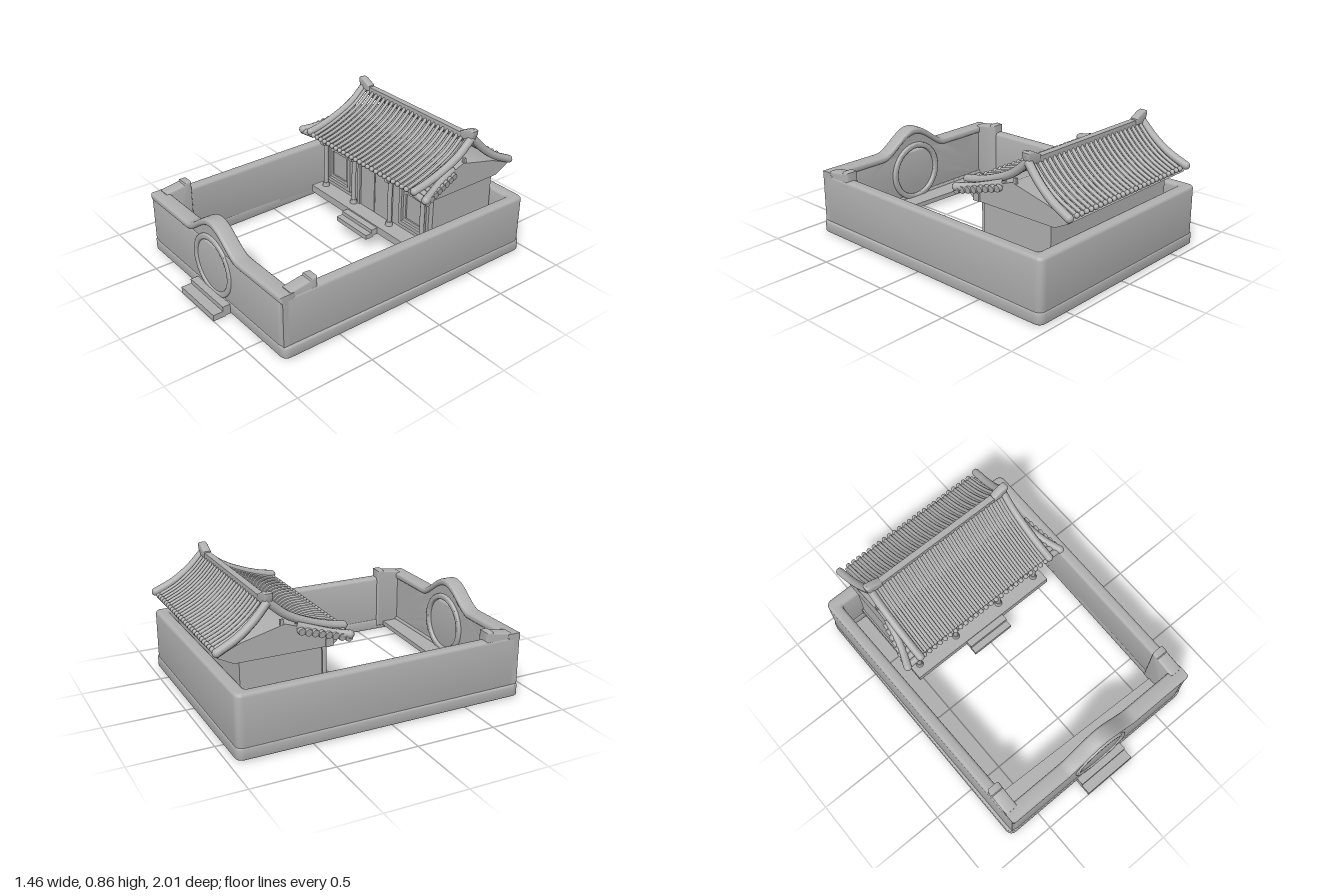
import * as THREE from 'three';
import { toCreasedNormals } from 'three/addons/utils/BufferGeometryUtils.js';

export function createModel() {
  const root = new THREE.Group();
  root.name = 'courtyardHouse';
  const stone = new THREE.MeshStandardMaterial({ color: 0xb0b0b0, side: THREE.DoubleSide });
  stone.name = 'grey';

  const add = (name, geo, parent = root) => {
    const m = new THREE.Mesh(geo, stone);
    m.name = name;
    parent.add(m);
    return m;
  };
  // box given by its limits on each axis
  const box = (name, x0, x1, y0, y1, z0, z1, parent = root) => {
    const m = add(name, new THREE.BoxGeometry(x1 - x0, y1 - y0, z1 - z0), parent);
    m.position.set((x0 + x1) / 2, (y0 + y1) / 2, (z0 + z1) / 2);
    return m;
  };
  const extrude = (shape, depth, bevel = 0) => {
    const g = new THREE.ExtrudeGeometry(shape, {
      depth: depth - 2 * bevel, bevelEnabled: bevel > 0, bevelSize: bevel,
      bevelThickness: bevel, bevelOffset: -bevel, bevelSegments: 3, curveSegments: 32,
    });
    g.translate(0, 0, bevel);
    return toCreasedNormals(g, 0.6);
  };
  const polygon = pts => new THREE.Shape(pts.map(p => new THREE.Vector2(...p)));
  // (z, y) profile extruded along x
  const sideProfile = (name, pts, x0, x1, bevel = 0, parent = root) => {
    const g = extrude(polygon(pts.map(([z, y]) => [-z, y])), x1 - x0, bevel);
    g.rotateY(Math.PI / 2).translate(x0, 0, 0);
    return add(name, g, parent);
  };
  const tube = (pts, r, seg = 14, sides = 8) => new THREE.TubeGeometry(
    new THREE.CatmullRomCurve3(pts.map(p => new THREE.Vector3(...p))), seg, r, sides);

  // rounded four-sided plan, with v = -z
  const plan = (xBack, xFront, zBack, zFront, r, Type = THREE.Shape) => {
    const c = [[-xFront, -zFront], [xFront, -zFront], [xBack, -zBack], [-xBack, -zBack]]
      .map(p => new THREE.Vector2(...p));
    const s = new Type();
    c.forEach((p, i) => {
      const a = p.clone().add(c[(i + 3) % 4].clone().sub(p).setLength(r));
      const b = p.clone().add(c[(i + 1) % 4].clone().sub(p).setLength(r));
      if (i) s.lineTo(a.x, a.y); else s.moveTo(a.x, a.y);
      s.quadraticCurveTo(p.x, p.y, b.x, b.y);
    });
    s.closePath();
    return s;
  };
  const ringWall = (name, outer, hole, y0, y1, bevel) => {
    const s = plan(...outer);
    s.holes.push(plan(...hole, THREE.Path));
    add(name, extrude(s, y1 - y0, bevel).rotateX(-Math.PI / 2).translate(0, y0, 0));
  };

  // courtyard walls and plinth
  ringWall('courtyardWall', [0.725, 0.705, -0.95, 0.88, 0.05], [0.652, 0.632, -0.87, 0.80, 0.02], 0.03, 0.39, 0.02);
  ringWall('wallPlinth', [0.73, 0.725, -0.955, 0.885, 0.05], [0.656, 0.628, -0.865, 0.79, 0.02], 0.005, 0.077, 0.008);
  add('frontFloorStrip', extrude(polygon([[-0.64, -0.8], [0.64, -0.8], [0.64, -0.69], [-0.64, -0.645]]), 0.03)
    .rotateX(-Math.PI / 2).translate(0, 0.03, 0));

  // front wall with raised middle and round gate
  const top = x => {
    const t = Math.min(1, Math.abs(x) / 0.27);
    return 0.41 + 0.135 * Math.pow(0.5 + 0.5 * Math.cos(Math.PI * t), 0.85);
  };
  const xs = [-0.705];
  for (let i = -18; i <= 18; i++) xs.push(i * 0.016);
  xs.push(0.705);
  const curve = dy => xs.map(x => [x, top(x) + dy]);
  const wall = polygon([[-0.705, 0.03], [0.705, 0.03], ...curve(-0.01).reverse()]);
  const circle = (r, Type) => new Type().absarc(0, 0.24, r, 0, Math.PI * 2);
  wall.holes.push(circle(0.168, THREE.Path));
  add('frontWall', extrude(wall, 0.075).translate(0, 0, 0.80));
  const cap = polygon([...curve(-0.045), ...curve(0).reverse()]);
  add('frontWallCap', extrude(cap, 0.10, 0.016).translate(0, 0, 0.787));
  const ring = circle(0.20, THREE.Shape);
  ring.holes.push(circle(0.163, THREE.Path));
  add('gateRing', extrude(ring, 0.11, 0.01).translate(0, 0, 0.78));
  add('gatePanel', extrude(circle(0.17, THREE.Shape), 0.02).translate(0, 0, 0.825));
  box('gateStepUpper', -0.18, 0.18, 0.005, 0.07, 0.86, 0.935);
  box('gateStepLower', -0.18, 0.18, 0, 0.04, 0.92, 1.0);
  for (const s of [-1, 1]) {
    const x = s * 0.66;
    sideProfile('cornerReturn', [[0.64, 0.03], [0.82, 0.03], [0.82, 0.415], [0.69, 0.435], [0.685, 0.447], [0.64, 0.445]],
      x - 0.042, x + 0.042, 0.012);
  }

  // house platform and steps
  const house = new THREE.Group();
  house.name = 'house';
  root.add(house);
  box('platform', -0.54, 0.54, 0.105, 0.155, -0.86, -0.245, house);
  box('houseStepUpper', -0.15, 0.15, 0.10, 0.145, -0.26, -0.20, house);
  box('houseStepLower', -0.15, 0.15, 0.09, 0.12, -0.21, -0.155, house);

  // house walls, door and windows
  box('houseWall', -0.53, 0.53, 0.15, 0.50, -0.85, -0.36, house);
  for (const s of [-1, 1]) {
    const frame = (name, w, h, t, depth) => {
      const f = polygon([[-w, -h], [w, -h], [w, h], [-w, h]]);
      f.holes.push(new THREE.Path([[-1, -1], [-1, 1], [1, 1], [1, -1]]
        .map(([a, b]) => new THREE.Vector2(a * (w - t), b * (h - t)))));
      add(name, extrude(f, depth), house).position.set(s * 0.37, 0.335, -0.362);
    };
    frame('windowOuterFrame', 0.125, 0.14, 0.025, 0.024);
    frame('windowInnerFrame', 0.095, 0.11, 0.022, 0.012);
    box('doorLeaf', s * 0.07 - 0.066, s * 0.07 + 0.066, 0.155, 0.46, -0.361, -0.347, house);
    box('doorJamb', s * 0.152 - 0.012, s * 0.152 + 0.012, 0.155, 0.48, -0.361, -0.338, house);
  }
  for (const x of [-0.48, -0.18, 0.18, 0.48]) {
    add('porchColumn', new THREE.CylinderGeometry(0.015, 0.015, 0.35, 14), house).position.set(x, 0.325, -0.32);
    add('columnFoot', new THREE.CylinderGeometry(0.02, 0.025, 0.03, 14), house).position.set(x, 0.168, -0.32);
    box('columnBracket', x - 0.018, x + 0.018, 0.475, 0.54, -0.34, -0.285, house);
  }
  box('porchBeam', -0.55, 0.55, 0.487, 0.535, -0.34, -0.295, house);
  sideProfile('gableBlock', [[-0.30, 0.485], [-0.88, 0.487], [-0.975, 0.535], [-0.965, 0.55], [-0.84, 0.60],
    [-0.58, 0.663], [-0.45, 0.615], [-0.235, 0.54]], -0.54, 0.54, 0, house);

  // tiled roof
  const roof = new THREE.Group();
  roof.name = 'roof';
  root.add(roof);
  const front = [[-0.67, 0.795], [-0.56, 0.70], [-0.42, 0.63], [-0.30, 0.588], [-0.215, 0.567]];
  const back = [[-0.67, 0.795], [-0.76, 0.70], [-0.86, 0.625], [-0.98, 0.567]];
  const count = 25;
  for (const slope of [front, back]) {
    const rib = tube(slope.map(([z, y]) => [0, y, z]), 0.011);
    const end = new THREE.SphereGeometry(0.016, 10, 8);
    const [ez, ey] = slope[slope.length - 1];
    for (let i = 0; i < count; i++) {
      const x = -0.48 + 0.96 * i / (count - 1);
      add('tileRib', rib, roof).position.x = x;
      add('tileEnd', end, roof).position.set(x, ey, ez);
    }
  }
  // thin sheet beneath the back ribs
  const pts = new THREE.CatmullRomCurve3(back.map(([z, y]) => new THREE.Vector3(0, y, z))).getPoints(14);
  const sheet = new THREE.PlaneGeometry(1.02, 1, 1, 14);
  const pos = sheet.attributes.position;
  for (let i = 0; i < pos.count; i++) {
    const p = pts[Math.floor(i / 2)];
    pos.setXYZ(i, -pos.getX(i), p.y - 0.006, p.z);
  }
  sheet.computeVertexNormals();
  add('backRoofSheet', sheet, roof);

  // main ridge and its raised ends
  box('ridge', -0.50, 0.50, 0.775, 0.812, -0.69, -0.65, roof);
  for (const s of [-1, 1]) {
    const horn = polygon([[0.43, 0.78], [0.52, 0.775], [0.54, 0.83], [0.54, 0.85], [0.525, 0.857], [0.495, 0.852], [0.43, 0.82]]
      .map(([x, y]) => [s * x, y]));
    add('ridgeEnd', extrude(horn, 0.05, 0.01).translate(0, 0, -0.695), roof);

    // verge ridges down each slope, with rounded tips
    const verge = (name, line, r) => {
      add(name, tube(line, r, 18, 10), roof);
      add(name + 'Tip', new THREE.SphereGeometry(r, 12, 8), roof).position.set(...line[line.length - 1]);
    };
    verge('frontVerge', front.map(([z, y], i) => [s * 0.51, y + 0.004 * i, z]), 0.025);
    verge('backVerge', back.map(([z, y], i) => [s * (0.515 + 0.01 * i), y + 0.003, z]), 0.025);
    verge('sideHip', [[s * 0.52, 0.638, -0.51], [s * 0.54, 0.603, -0.41], [s * 0.57, 0.575, -0.31], [s * 0.605, 0.562, -0.22]], 0.025);
    box('gableOrnament', s * 0.53 - 0.008, s * 0.53 + 0.008, 0.64, 0.69, -0.608, -0.588, roof);

    // stepped tiles of the small side skirt
    for (let i = 0; i < 8; i++) {
      const t = i / 7;
      const x0 = 0.50, x1 = 0.62 - 0.055 * t;
      const tile = add('skirtTile', new THREE.CylinderGeometry(0.022, 0.022, x1 - x0, 10), roof);
      tile.position.set(s * (x0 + x1) / 2, 0.552 + 0.06 * t, -0.23 - 0.26 * t);
      tile.rotation.z = Math.PI / 2 - s * 0.12;
    }
  }
  return root;
}
